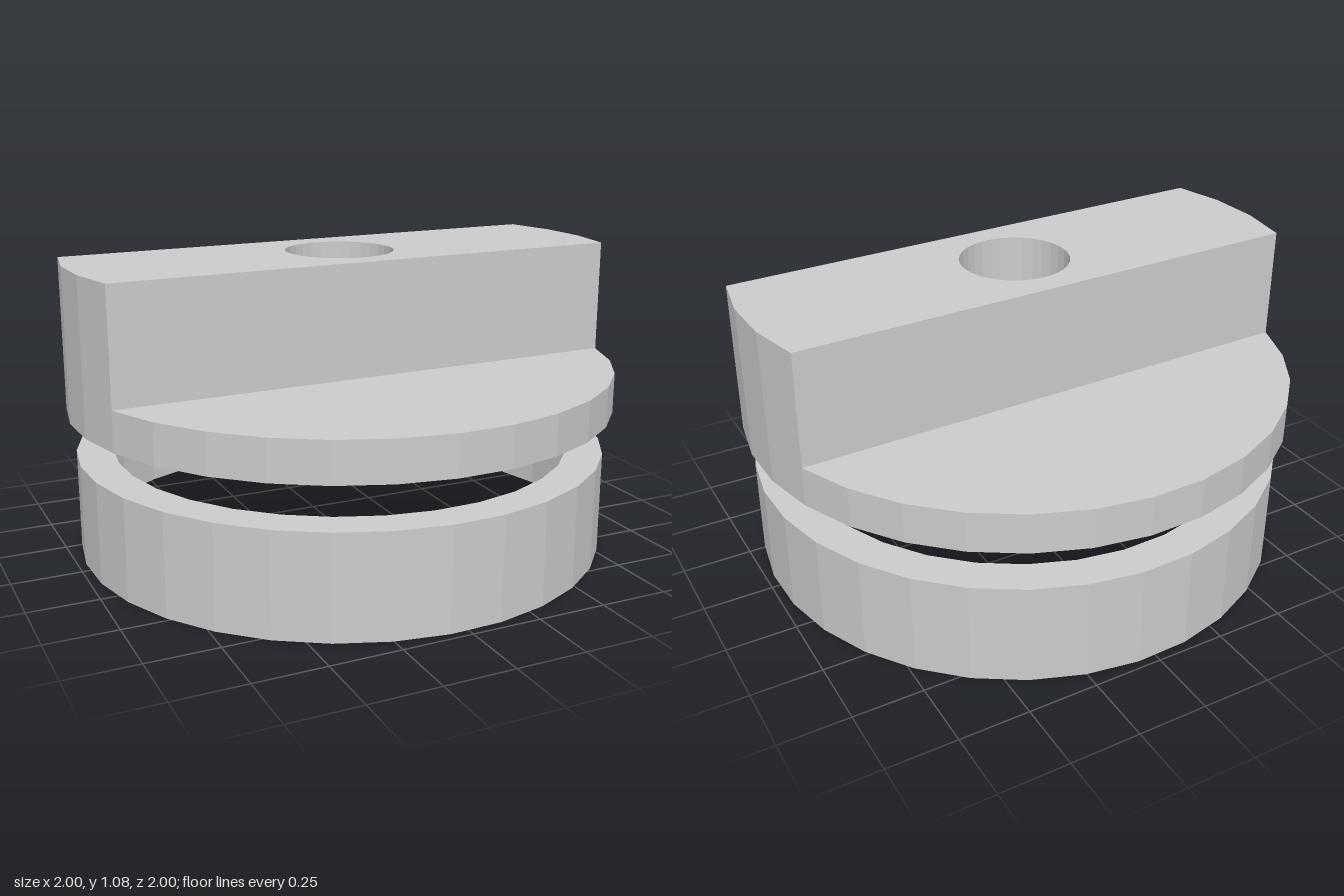
import * as THREE from 'three';
import { mergeGeometries } from 'three/addons/utils/BufferGeometryUtils.js';

const STEP = Math.PI / 16; // 32-sided circles, first corner half a step off the x axis
const arc = (r, from, to, n) => Array.from({ length: n + 1 }, (_, i) => {
  const a = from + (to - from) * i / n;
  return new THREE.Vector2(r * Math.cos(a), r * Math.sin(a));
});
const circle = (r) => arc(r, STEP / 2, STEP / 2 + 31 * STEP, 31);
const turn = (pts) => pts.map((p) => new THREE.Vector2(-p.x, -p.y));

// Horizontal face at height y, optionally with a hole
function face(outline, y, hole) {
  const shape = new THREE.Shape(outline);
  if (hole) shape.holes.push(new THREE.Path(hole));
  const g = new THREE.ShapeGeometry(shape);
  g.rotateX(-Math.PI / 2).translate(0, y, 0);
  const flat = g.toNonIndexed();
  flat.deleteAttribute('uv');
  return flat;
}

// Upright wall along a closed counter-clockwise outline
function wall(outline, y0, y1) {
  const pos = [];
  outline.forEach((a, i) => {
    const b = outline[(i + 1) % outline.length];
    pos.push(a.x, y0, -a.y, b.x, y0, -b.y, b.x, y1, -b.y);
    pos.push(a.x, y0, -a.y, b.x, y1, -b.y, a.x, y1, -a.y);
  });
  const g = new THREE.BufferGeometry();
  g.setAttribute('position', new THREE.Float32BufferAttribute(pos, 3));
  g.computeVertexNormals();
  return g;
}

// All parts are thin open skins
function part(name, geometries) {
  const mat = new THREE.MeshStandardMaterial({
    color: 0xcccccc, flatShading: true, side: THREE.DoubleSide,
  });
  const mesh = new THREE.Mesh(mergeGeometries(geometries), mat);
  mesh.name = name;
  return mesh;
}

export function createModel() {
  const model = new THREE.Group();
  model.name = 'knobAndCollar';

  const R = 1, hole = 0.197;
  const yBottom = 0.527, yFlange = 0.67, yTop = 1.078;

  // Flange: rim, inward lip underneath, and a top left open below the grip bar
  const flangeTop = arc(R, 1.5 * STEP, 14.5 * STEP, 13);
  model.add(part('flange', [
    wall(circle(R), yBottom, yFlange),
    face(circle(R), yBottom, circle(0.86)),
    face(flangeTop, yFlange),
    face(turn(flangeTop), yFlange),
  ]));

  // Hollow grip bar, its ends following the rim
  const barEnd = arc(R, -1.5 * STEP, 1.5 * STEP, 3);
  const bar = [...barEnd, ...turn(barEnd)];
  model.add(part('gripBar', [
    wall(bar, yFlange, yTop),
    face(bar, yTop, circle(hole)),
  ]));

  // Tube lining the screw hole
  model.add(part('screwHole', [wall(circle(hole), yFlange, yTop)]));

  // Separate collar below: skirt with an inward lip on top
  const collar = 0.973, collarTop = 0.368;
  model.add(part('collar', [
    wall(circle(collar), 0, collarTop),
    face(circle(collar), collarTop, circle(0.84)),
  ]));

  // The whole knob sits slightly turned
  model.rotation.y = THREE.MathUtils.degToRad(1.8);
  return model;
}
